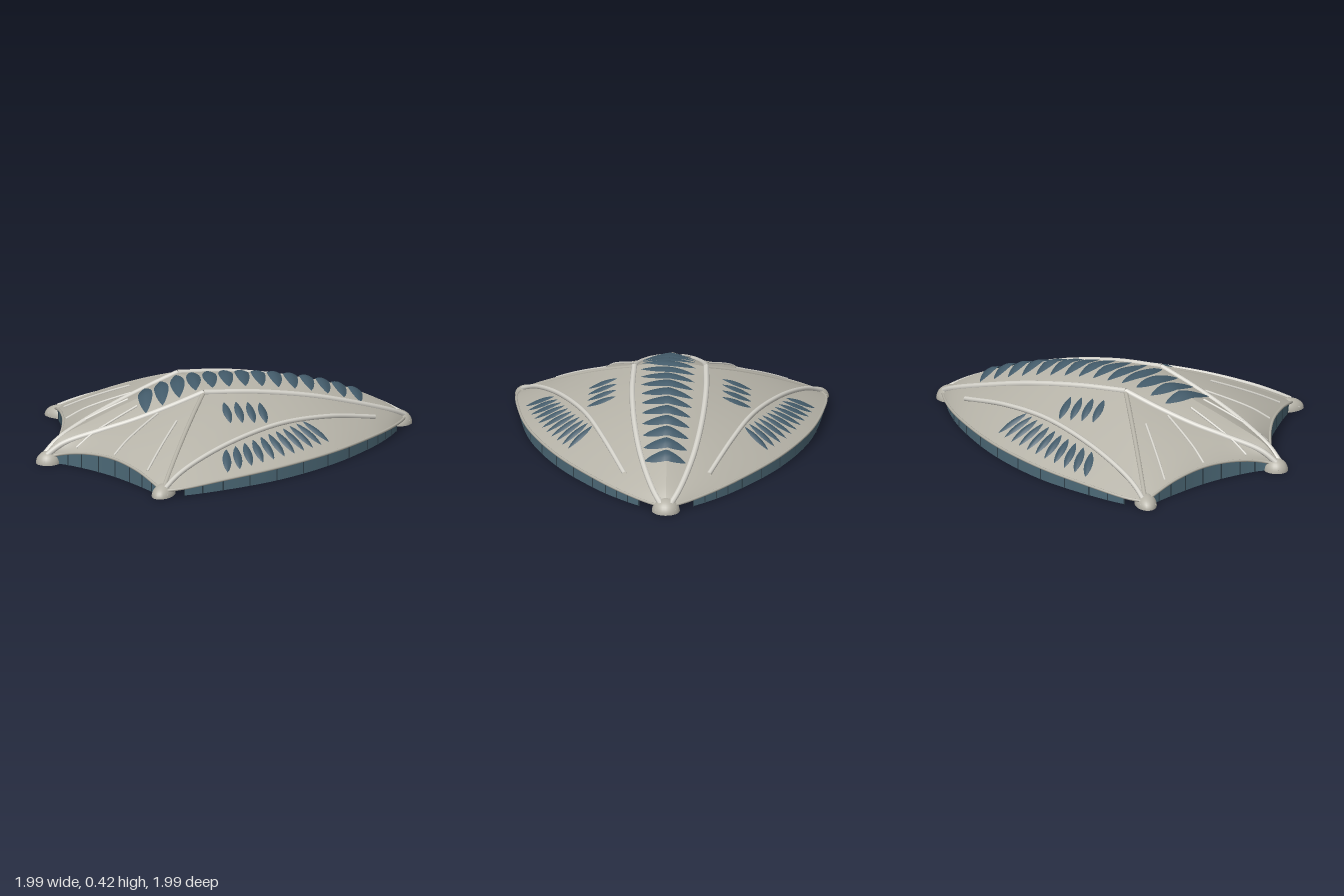
import * as THREE from 'three';

const V = (u, y, v) => new THREE.Vector3(u, y, v);
const mat = (color) => new THREE.MeshStandardMaterial({ color, side: THREE.DoubleSide });
const shellMat = mat(0xb6b3a8), ribMat = mat(0xd6d4cc), glassMat = mat(0x4d6a78), leafMat = mat(0x425a69), frameMat = mat(0x2e3f49);

// Local frame: u runs along the ridge, v across it; the roof mirrors in v.
const toUV = (x, z) => [(x - z) * Math.SQRT1_2, (x + z) * Math.SQRT1_2];
const curve = (pts, side = 1) => new THREE.CatmullRomCurve3(pts.map(([u, y, v]) => V(u, y, v * side)));

// Profiles as [u, height, v]
const RIDGE_FRONT = [[-0.905, 0.03, 0], [-0.8, 0.14, 0], [-0.6, 0.225, 0], [-0.42, 0.29, 0], [-0.2, 0.36, 0], [0, 0.4, 0]];
const RIDGE_BACK = [[1.31, 0.04, 0], [1.2, 0.125, 0], [0.95, 0.25, 0], [0.65, 0.345, 0], [0.3, 0.4, 0], [0, 0.4, 0]];
const BAND_FRONT = [[-0.905, 0.03, 0.01], [-0.8, 0.115, 0.04], [-0.6, 0.19, 0.11], [-0.42, 0.245, 0.16], [-0.2, 0.315, 0.193], [0, 0.38, 0.205]];
const BAND_BACK = [[1.31, 0.04, 0.02], [1.2, 0.1, 0.075], [0.95, 0.195, 0.145], [0.65, 0.285, 0.19], [0.3, 0.352, 0.21], [0, 0.38, 0.205]];
const EDGE_FRONT = [[-0.905, 0.03, 0.01], [-0.828, 0.055, 0.045], [-0.733, 0.09, 0.17], [-0.63, 0.11, 0.375], [-0.56, 0.095, 0.6], [-0.52, 0.06, 0.77], [-0.5, 0.035, 0.85]];
const EDGE_BACK = [[1.31, 0.04, 0.02], [1.24, 0.045, 0.12], [1.12, 0.058, 0.26], [0.967, 0.07, 0.4], [0.63, 0.08, 0.63], [0.23, 0.08, 0.8], [-0.15, 0.065, 0.87], [-0.4, 0.045, 0.88], [-0.5, 0.035, 0.85]];

// Grid surface from a point rule f(i, j)
function grid(n, m, f) {
  const pos = [], idx = [];
  for (let i = 0; i <= n; i++) for (let j = 0; j <= m; j++) {
    pos.push(...f(i / n, j / m).toArray());
    if (i < n && j < m) {
      const a = i * (m + 1) + j, b = a + m + 1;
      idx.push(a, a + 1, b, b, a + 1, b + 1);
    }
  }
  const g = new THREE.BufferGeometry();
  g.setAttribute('position', new THREE.Float32BufferAttribute(pos, 3));
  g.setIndex(idx);
  g.computeVertexNormals();
  return g;
}

// Ruled surface between two curves, bulging upward
const loft = (a, b, bulge, n = 48, m = 14) => grid(n, m, (t, s) => {
  const p = a.getPoint(t).lerp(b.getPoint(t), s);
  p.y += bulge * t * 4 * s * (1 - s);
  return p;
});

export function createModel() {
  const model = new THREE.Group();
  const roof = new THREE.Group();
  roof.name = 'roof';
  roof.rotation.y = Math.PI / 4;
  model.add(roof);
  const add = (name, geo, material) => {
    const mesh = new THREE.Mesh(geo, material);
    mesh.name = name;
    roof.add(mesh);
    return mesh;
  };
  const pipe = (name, c, r, material = ribMat) => add(name, new THREE.TubeGeometry(c, 48, r, 8), material);

  // Shell panels
  const shell = [];
  for (const side of [1, -1]) {
    const bf = curve(BAND_FRONT, side), bb = curve(BAND_BACK, side);
    const ef = curve(EDGE_FRONT, side), eb = curve(EDGE_BACK, side);
    shell.push(
      add('ridgeBandFront', loft(curve(RIDGE_FRONT), bf, 0.006), shellMat),
      add('ridgeBandBack', loft(curve(RIDGE_BACK), bb, 0.006), shellMat),
      add('frontPanel', loft(bf, ef, 0.025), shellMat),
      add('sidePanel', loft(bb, eb, 0.025), shellMat));
    pipe('bandRib', bf, 0.017);
    pipe('bandRib', bb, 0.017);
    pipe('edgeRim', ef, 0.008, shellMat);
    pipe('edgeRim', eb, 0.008, shellMat);

    // Glass walls with mullions beneath the arched edges
    for (const [c, t0, t1, bars] of [[ef, 0.14, 0.9, 8], [eb, 0.16, 0.86, 12]]) {
      const at = (t) => {
        const p = c.getPoint(t0 + (t1 - t0) * t);
        return V(p.x * 0.99, p.y, p.z * 0.985);
      };
      add('glassWall', grid(40, 1, (t, s) => at(t).multiply(V(1, s, 1))), glassMat);
      for (let i = 0; i <= bars; i++) {
        const p = at(i / bars);
        add('mullion', new THREE.BoxGeometry(0.006, p.y, 0.006), frameMat).position.set(p.x, p.y / 2, p.z);
      }
    }
  }

  // Height of the shell at a local point
  const ray = new THREE.Raycaster();
  const drape = (u, v, lift) => {
    ray.set(V(u, 2, v), V(0, -1, 0));
    const hit = ray.intersectObjects(shell, false)[0];
    return V(u, (hit ? hit.point.y : 0.045) + lift, v);
  };

  // Pointed skylight that follows the shell
  const leaf = (name, u, v, du, dv, half, width) => {
    const l = Math.hypot(du, dv), a = du / l, b = dv / l;
    add(name, grid(12, 4, (t, s) => {
      const k = (2 * t - 1) * half, w = (2 * s - 1) * width * Math.sin(Math.PI * t) ** 0.8;
      const crown = 0.012 * Math.sin(Math.PI * s) * Math.sin(Math.PI * t);
      return drape(u + a * k - b * w, v + b * k + a * w, 0.006 + crown);
    }), leafMat);
  };

  // Skylights along the ridge
  for (let i = 0; i < 14; i++) {
    const t = i / 13;
    leaf('ridgeSkylight', -0.28 + 1.28 * t, 0.01, -0.35 + 0.25 * t, 1, 0.165 - 0.045 * t * t, 0.041);
  }

  const rowPath = new THREE.QuadraticBezierCurve(new THREE.Vector2(0.48, 0.57), new THREE.Vector2(0.68, 0.25), new THREE.Vector2(0.76, -0.05));
  for (const side of [1, -1]) {
    const place = (name, x, z, dx, dz, half, width) => {
      const [u, v] = toUV(x, z), [du, dv] = toUV(dx, dz);
      leaf(name, u, v * side, du, dv * side, half, width);
    };
    // Outer row and small cluster of skylights
    for (let i = 0; i < 11; i++) {
      const t = i / 10, p = rowPath.getPoint(t);
      place('sideSkylight', p.x, p.y, 0.45 + 0.55 * t, 0.9 - 0.8 * t, 0.088, 0.025);
    }
    for (let i = 0; i < 4; i++)
      place('smallSkylight', 0.325 + 0.052 * i, 0.215 - 0.05 * i, 0.6, 0.8, 0.085, 0.025);

    const draped = (pts, lift) => new THREE.CatmullRomCurve3(pts.map(([x, z]) => {
      const [u, v] = toUV(x, z);
      return drape(u, v * side, lift);
    }));
    // Curved side rib
    pipe('sideRib', draped([[0.26, 0.94], [0.28, 0.85], [0.32, 0.73], [0.43, 0.45], [0.59, 0.08], [0.75, -0.24], [0.9, -0.56]], 0.008), 0.014);
    // Slim rods on the front panel
    for (const [x0, z0, x1, z1] of [[0.1, 0.42, 0.1, 0.83], [-0.05, 0.35, -0.165, 0.7], [-0.2, 0.3, -0.44, 0.61]]) {
      const pts = [0, 0.25, 0.5, 0.75, 1].map((t) => [x0 + (x1 - x0) * t, z0 + (z1 - z0) * t]);
      pipe('frontRod', draped(pts, 0.003), 0.007);
    }
    // Crease ridge running down to the side foot
    const crease = [0, 0.2, 0.4, 0.6, 0.8, 1].map((s) => [-0.5 * s, 0.38 - 0.345 * s + 0.1 * s * (1 - s) - 0.006, 0.205 + 0.645 * s]);
    pipe('creaseRidge', curve(crease, side), 0.014, shellMat);
  }

  // Rounded feet with pads: u, v, heading, length, height, width
  const sideAngle = Math.atan2(0.74, -0.67);
  for (const [u, v, angle, len, high, wide] of [
    [-0.477, 0.81, sideAngle, 0.1, 0.065, 0.062],
    [-0.477, -0.81, -sideAngle, 0.1, 0.065, 0.062],
    [-0.87, 0, Math.PI, 0.07, 0.07, 0.065],
    [1.27, 0, 0, 0.08, 0.075, 0.08]]) {
    const foot = new THREE.Group();
    foot.name = 'foot';
    foot.position.set(u, 0, v);
    foot.rotation.y = -angle;
    const hood = new THREE.Mesh(new THREE.SphereGeometry(1, 24, 10, 0, Math.PI * 2, 0, Math.PI / 2), shellMat);
    hood.name = 'footHood';
    hood.scale.set(len, high, wide);
    const pad = new THREE.Mesh(new THREE.BoxGeometry(len, 0.025, wide * 1.5), ribMat);
    pad.name = 'footPad';
    pad.position.set(len * 0.1, 0.0125, 0);
    foot.add(hood, pad);
    roof.add(foot);
  }
  return model;
}
